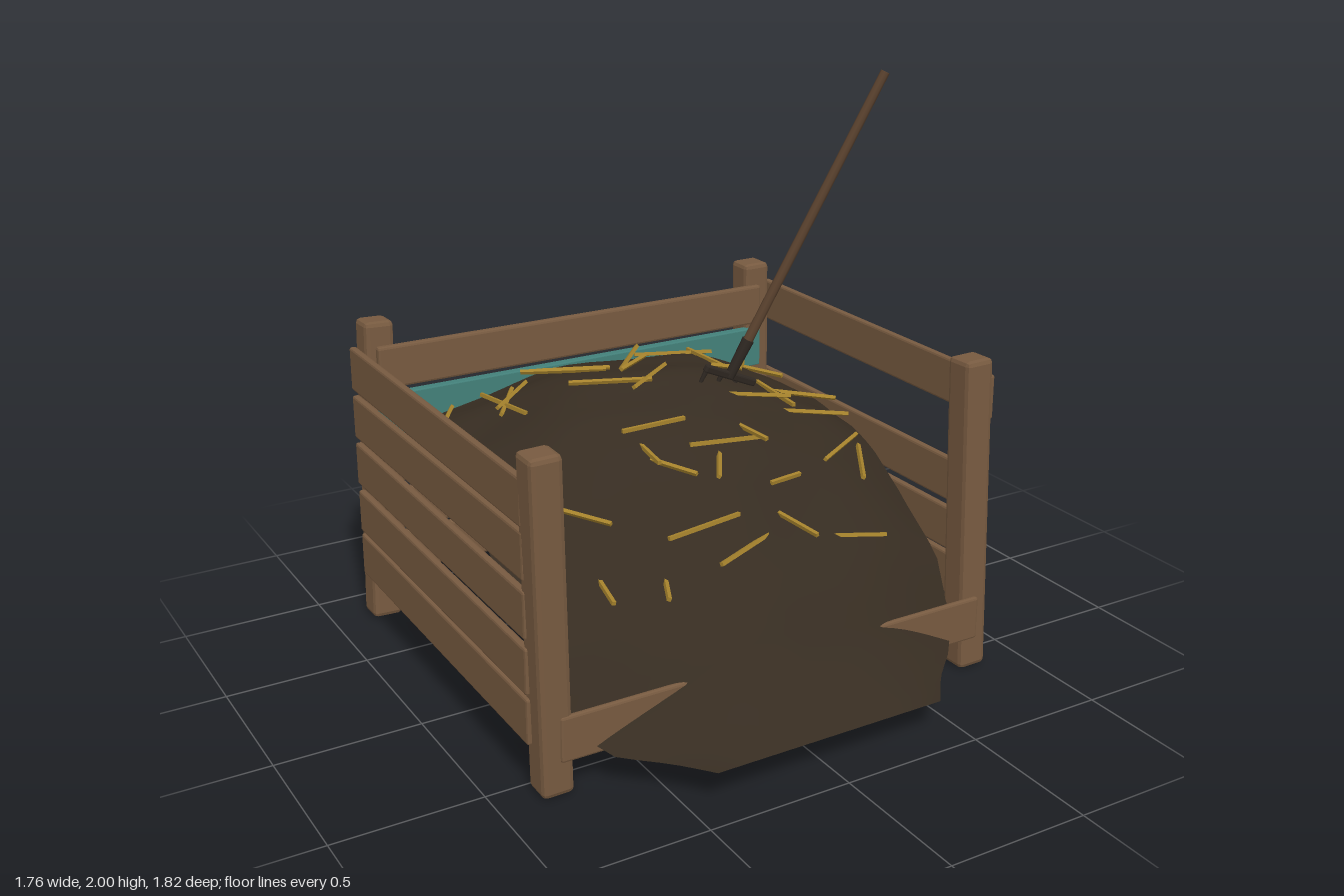
import * as THREE from 'three';
import { RoundedBoxGeometry } from 'three/addons/geometries/RoundedBoxGeometry.js';

const V = (x, y, z) => new THREE.Vector3(x, y, z);

// Mound cross-sections: z, half width, centre height, edge height, falloff power
const ROWS = [
  [-0.80, 0.77, 0.83, 0.68, 2.2], [-0.55, 0.77, 0.92, 0.71, 2.1], [-0.30, 0.77, 0.95, 0.69, 2.1],
  [-0.10, 0.77, 0.91, 0.67, 2.2], [0.05, 0.77, 0.85, 0.61, 2.2], [0.20, 0.77, 0.75, 0.53, 2.2],
  [0.43, 0.77, 0.52, 0.36, 2.2], [0.57, 0.73, 0.41, 0.19, 1.7], [0.66, 0.655, 0.305, 0.12, 1.5],
  [0.785, 0.52, 0.20, 0.12, 1.8], [0.91, 0.42, 0.12, 0.12, 2],
];

function rowAt(z) {
  let i = 0;
  while (i < ROWS.length - 2 && z > ROWS[i + 1][0]) i++;
  const a = ROWS[i], b = ROWS[i + 1];
  const t = THREE.MathUtils.clamp((z - a[0]) / (b[0] - a[0]), 0, 1);
  return a.map((v, k) => v + (b[k] - v) * t);
}

function moundHeight(x, z) {
  const [, w, c, e, power] = rowAt(z);
  const u = Math.min(1, Math.abs(x) / w);
  const fade = THREE.MathUtils.clamp((0.85 - z) * 3, 0, 1);
  const bumps = 0.008 * Math.sin(11 * x + 5 * z) + 0.006 * Math.sin(17 * z - 8 * x + 1);
  return c - (c - e) * Math.pow(u, power) + bumps * fade;
}

function moundGeometry(nx = 28, nz = 36) {
  const pos = [], index = [];
  for (let j = 0; j <= nz; j++) {
    const z = -0.8 + 1.71 * j / nz, w = rowAt(z)[1];
    for (let i = 0; i <= nx; i++) {
      const x = w * (2 * i / nx - 1);
      pos.push(x, moundHeight(x, z), z);
      if (i < nx && j < nz) {
        const a = j * (nx + 1) + i, c = a + nx + 1;
        index.push(a, c, a + 1, a + 1, c, c + 1);
      }
    }
  }
  const g = new THREE.BufferGeometry();
  g.setAttribute('position', new THREE.Float32BufferAttribute(pos, 3));
  g.setIndex(index);
  g.computeVertexNormals();
  return g;
}

// Exposed straw ends: x1, z1, x2, z2
const STRAWS = [
  -.54, -.73, -.69, -.50, -.48, -.60, -.43, -.34, -.37, -.59, -.50, -.39, -.38, -.53, -.50, -.42,
  -.34, -.57, -.07, -.43, -.28, -.56, -.08, -.47, .16, -.62, -.02, -.41, -.03, -.39, .12, -.49,
  .16, -.64, .43, -.53, .36, -.59, .37, -.35, .69, -.72, .54, -.49, .58, -.59, .67, -.41,
  -.26, -.35, .01, -.24, .09, -.32, -.09, -.19, .32, -.35, .40, -.27, .45, -.23, .44, .01,
  .55, -.22, .69, -.09, .29, -.09, .44, -.01, .47, -.04, .64, .06, .70, .03, .46, .18,
  .68, .07, .53, .31, -.72, -.03, -.58, -.01, -.24, 0, 0, 0, -.54, .13, -.44, .29,
  -.19, .06, -.20, .18, -.17, .11, -.10, .25, .04, .16, -.04, .29, .10, .12, .22, .14,
  .19, .08, .21, .19, .19, .25, .32, .23, -.51, .35, -.53, .47, -.31, .41, -.35, .50,
  -.27, .36, .02, .32, -.14, .47, .03, .40, .18, .33, .21, .50, .40, .40, .53, .45,
];

export function createModel() {
  const model = new THREE.Group();
  model.name = 'compostBin';
  const material = (name, color, side = THREE.FrontSide) => {
    const m = new THREE.MeshStandardMaterial({ color, side });
    m.name = name;
    return m;
  };
  const wood = material('wood', 0x775a40);
  const teal = material('teal', 0x43807a);
  const soil = material('soil', 0x362c21, THREE.DoubleSide);
  const straw = material('straw', 0xa5822c);
  const handleWood = material('handleWood', 0x5c432f);
  const iron = material('iron', 0x2f2822);

  const add = (name, geometry, mat, parent = model) => {
    const mesh = new THREE.Mesh(geometry, mat);
    mesh.name = name;
    parent.add(mesh);
    return mesh;
  };
  // Box with chamfered edges and flat faces
  const chamferBox = (w, h, d, r) => {
    const g = new RoundedBoxGeometry(w, h, d, 1, r);
    g.computeVertexNormals();
    return g;
  };
  // Stands a y-aligned mesh between two points
  const span = (mesh, a, b) => {
    mesh.position.copy(a).add(b).multiplyScalar(0.5);
    mesh.quaternion.setFromUnitVectors(V(0, 1, 0), b.clone().sub(a).normalize());
    return mesh;
  };

  // Leaning corner posts: bottom x, z then top x, z
  const posts = {
    frontRightPost: [-0.805, 0.565, -0.825, 0.582], frontLeftPost: [0.80, 0.565, 0.78, 0.54],
    backRightPost: [-0.81, -0.825, -0.765, -0.86], backLeftPost: [0.80, -0.825, 0.79, -0.83],
  };
  for (const [name, [x0, z0, x1, z1]] of Object.entries(posts)) {
    span(add(name, chamferBox(0.108, 1.12, 0.108, 0.017), wood), V(x0, 0.005, z0), V(x1, 1.12, z1));
  }

  // Side boards; the left side lacks the second from the top
  const levels = [0.25, 0.42, 0.605, 0.79, 0.965];
  const tilts = [0.008, 0.008, 0.006, -0.004, 0.003];
  for (const side of [-1, 1]) {
    levels.forEach((y, i) => {
      if (side === 1 && i === 3) return;
      const b = add(side < 0 ? 'rightBoard' : 'leftBoard', chamferBox(0.026, 0.158, 1.38, 0.008), wood);
      b.position.set(side * 0.864, y, -0.135);
      b.rotation.x = tilts[i] * -side;
    });
  }

  // Back boards, one of them thicker and painted
  levels.forEach((y, i) => {
    const painted = i === 3;
    const b = add(painted ? 'paintedBackBoard' : 'backBoard',
      chamferBox(1.59, 0.155, painted ? 0.038 : 0.033, painted ? 0.004 : 0.009), painted ? teal : wood);
    b.position.set(0, y, painted ? -0.777 : -0.773);
    b.rotation.z = painted ? 0 : -tilts[i];
  });

  // Low front board
  add('frontBoard', chamferBox(1.6, 0.155, 0.022, 0.008), wood).position.set(0, 0.197, 0.618);

  // Hollow mound spilling out at the front
  add('mound', moundGeometry(), soil);

  // Nearly level straws whose uphill ends are stuck into the slope
  const straws = new THREE.Group();
  straws.name = 'straws';
  model.add(straws);
  for (let i = 0; i < STRAWS.length; i += 4) {
    const [x0, z0, x1, z1] = STRAWS.slice(i, i + 4);
    const [high, low] = [V(x0, moundHeight(x0, z0), z0), V(x1, moundHeight(x1, z1), z1)]
      .sort((p, q) => q.y - p.y);
    const rise = high.y - low.y;
    const middle = moundHeight((x0 + x1) / 2, (z0 + z1) / 2);
    high.y = Math.max(high.y, middle) + 0.006;
    low.y = high.y - 0.1 * rise;
    const buried = rise > 0.03 ? Math.max(0, 0.26 - high.distanceTo(low)) : 0;
    high.addScaledVector(high.clone().sub(low).normalize(), buried);
    span(add('straw', new THREE.BoxGeometry(0.013, high.distanceTo(low), 0.013), straw, straws), low, high);
  }

  // Fork stuck in the mound; built upright, then leaned along its handle
  const fork = new THREE.Group();
  fork.name = 'fork';
  const foot = V(0.29, 0.93, -0.175), tip = V(0.768, 1.99, 0.03);
  const length = foot.distanceTo(tip);
  fork.position.copy(foot);
  fork.quaternion.setFromUnitVectors(V(0, 1, 0), tip.clone().sub(foot).normalize());
  model.add(fork);
  add('handle', new THREE.CylinderGeometry(0.016, 0.018, length - 0.06, 8), handleWood, fork)
    .position.y = length / 2 + 0.03;
  add('socket', new THREE.CylinderGeometry(0.022, 0.018, 0.15, 8), iron, fork).position.y = 0.07;
  add('crossbar', chamferBox(0.23, 0.028, 0.024, 0.006), iron, fork);
  for (let i = 0; i < 4; i++) {
    const tine = add('tine', new THREE.CylinderGeometry(0.010, 0.004, 0.1, 6), iron, fork);
    tine.position.set(-0.105 + 0.07 * i, -0.05, 0);
  }
  return model;
}
